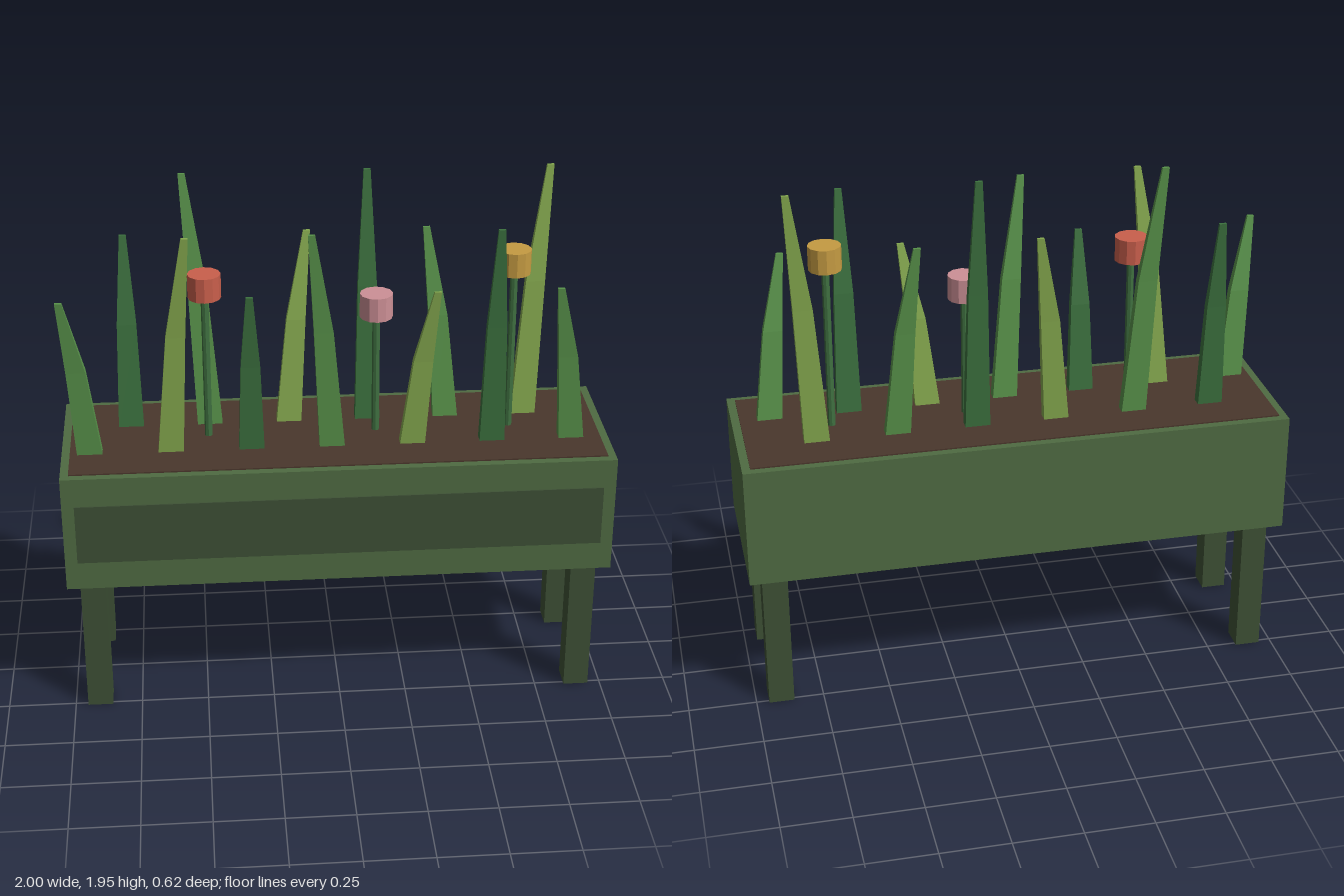
import * as THREE from 'three';

const material = (color) => new THREE.MeshStandardMaterial({ color, flatShading: true });

function addMesh(parent, name, geometry, mat, x, y, z) {
  const mesh = new THREE.Mesh(geometry, mat);
  mesh.name = name;
  mesh.position.set(x, y, z);
  parent.add(mesh);
  return mesh;
}

// A tapering blade of two segments whose centre line bends towards (leanX, leanZ)
function leafGeometry(height, leanX, leanZ) {
  const geometry = new THREE.BoxGeometry(1, 2, 1, 1, 2, 1);
  const rings = [
    { y: 0, width: 0.092, depth: 0.042, lean: 0 },
    { y: 0.55, width: 0.07, depth: 0.032, lean: 0.42 },
    { y: 1, width: 0.025, depth: 0.012, lean: 1 },
  ];
  const p = geometry.attributes.position;
  for (let i = 0; i < p.count; i++) {
    const ring = rings[Math.round(p.getY(i)) + 1];
    p.setXYZ(
      i,
      p.getX(i) * ring.width + leanX * ring.lean,
      ring.y * height,
      p.getZ(i) * ring.depth + leanZ * ring.lean
    );
  }
  geometry.computeVertexNormals();
  return geometry;
}

export function createModel() {
  const model = new THREE.Group();
  model.name = 'planter';
  const green = material(0x4f6b42);
  const darkGreen = material(0x3d5035);
  const soilBrown = material(0x4a372c);
  const stemGreen = material(0x3f7040);
  const leafGreens = [0x58924a, 0x3b703e, 0x84a84e].map(material);

  // Trough with front panel and soil
  addMesh(model, 'trough', new THREE.BoxGeometry(2, 0.45, 0.61), green, 0, 0.765, 0);
  addMesh(model, 'frontPanel', new THREE.BoxGeometry(1.91, 0.23, 0.012), darkGreen, 0, 0.765, 0.304);
  addMesh(model, 'soil', new THREE.BoxGeometry(1.94, 0.03, 0.55), soilBrown, 0, 0.98, 0);

  // Four square legs
  const legGeometry = new THREE.BoxGeometry(0.093, 0.54, 0.093);
  for (const x of [-0.907, 0.907]) {
    for (const z of [-0.217, 0.217]) addMesh(model, 'leg', legGeometry, darkGreen, x, 0.27, z);
  }

  // Two staggered rows of leaves, with cycling height, lean and colour
  const leaves = new THREE.Group();
  leaves.name = 'leaves';
  model.add(leaves);
  for (let i = 0; i < 13; i++) {
    const side = i % 2 === 0 ? 1 : -1;
    const height = 0.62 + 0.113 * (i % 4);
    const geometry = leafGeometry(height, ((i % 3) - 1) * 0.075, side * 0.063);
    addMesh(leaves, 'leaf', geometry, leafGreens[i % 3], -0.897 + i * 0.1465, 0.99, side * 0.106);
  }

  // Three drum-shaped flowers on thin stems
  const flowers = [
    { x: -0.465, y: 1.59, color: 0xc95f4c },
    { x: 0.15, y: 1.495, color: 0xcd9096 },
    { x: 0.645, y: 1.65, color: 0xc59b42 },
  ];
  for (const { x, y, color } of flowers) {
    const flower = new THREE.Group();
    flower.name = 'flower';
    model.add(flower);
    const stemHeight = y - 0.99;
    addMesh(flower, 'stem', new THREE.CylinderGeometry(0.014, 0.014, stemHeight, 8), stemGreen, x, 0.99 + stemHeight / 2, 0);
    addMesh(flower, 'bloom', new THREE.CylinderGeometry(0.06, 0.06, 0.09, 12), material(color), x, y, 0);
  }
  return model;
}
